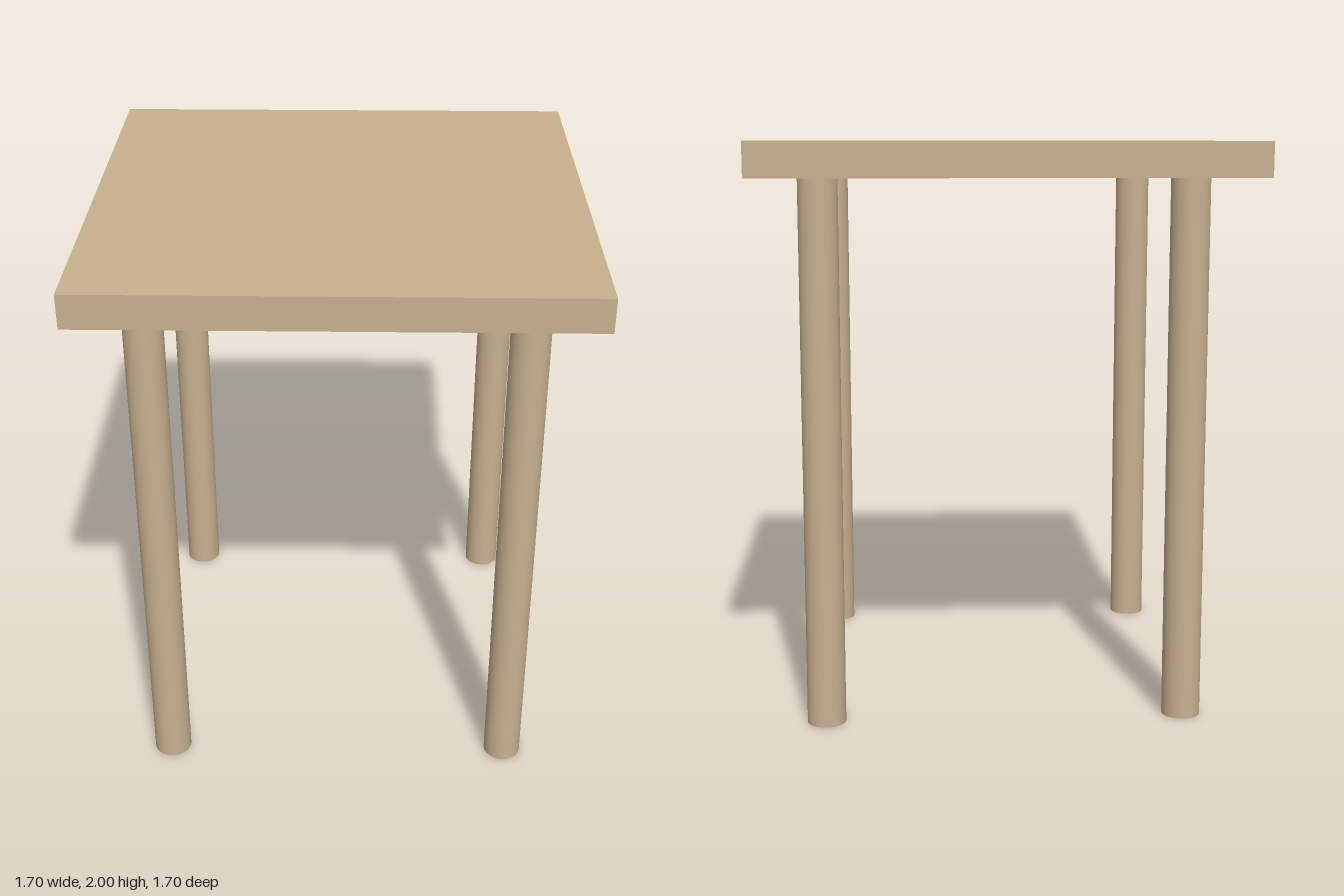
import * as THREE from 'three';

export function createModel() {
  const group = new THREE.Group();
  const wood = new THREE.MeshStandardMaterial({ color: 0xc8b090 });

  const height = 2;
  const topSize = 1.7;
  const topThickness = 0.118;
  const legRadius = 0.067;
  const legOffset = 0.625;
  const legHeight = height - topThickness;

  // Square slab top
  const top = new THREE.Mesh(new THREE.BoxGeometry(topSize, topThickness, topSize), wood);
  top.name = 'tableTop';
  top.position.y = height - topThickness / 2;
  group.add(top);

  // Four round legs, one near each corner
  const legGeometry = new THREE.CylinderGeometry(legRadius, legRadius, legHeight, 32);
  for (const [zName, z] of [['front', 1], ['back', -1]]) {
    for (const [xName, x] of [['Left', 1], ['Right', -1]]) {
      const leg = new THREE.Mesh(legGeometry, wood);
      leg.name = `${zName}${xName}Leg`;
      leg.position.set(x * legOffset, legHeight / 2, z * legOffset);
      group.add(leg);
    }
  }

  return group;
}
